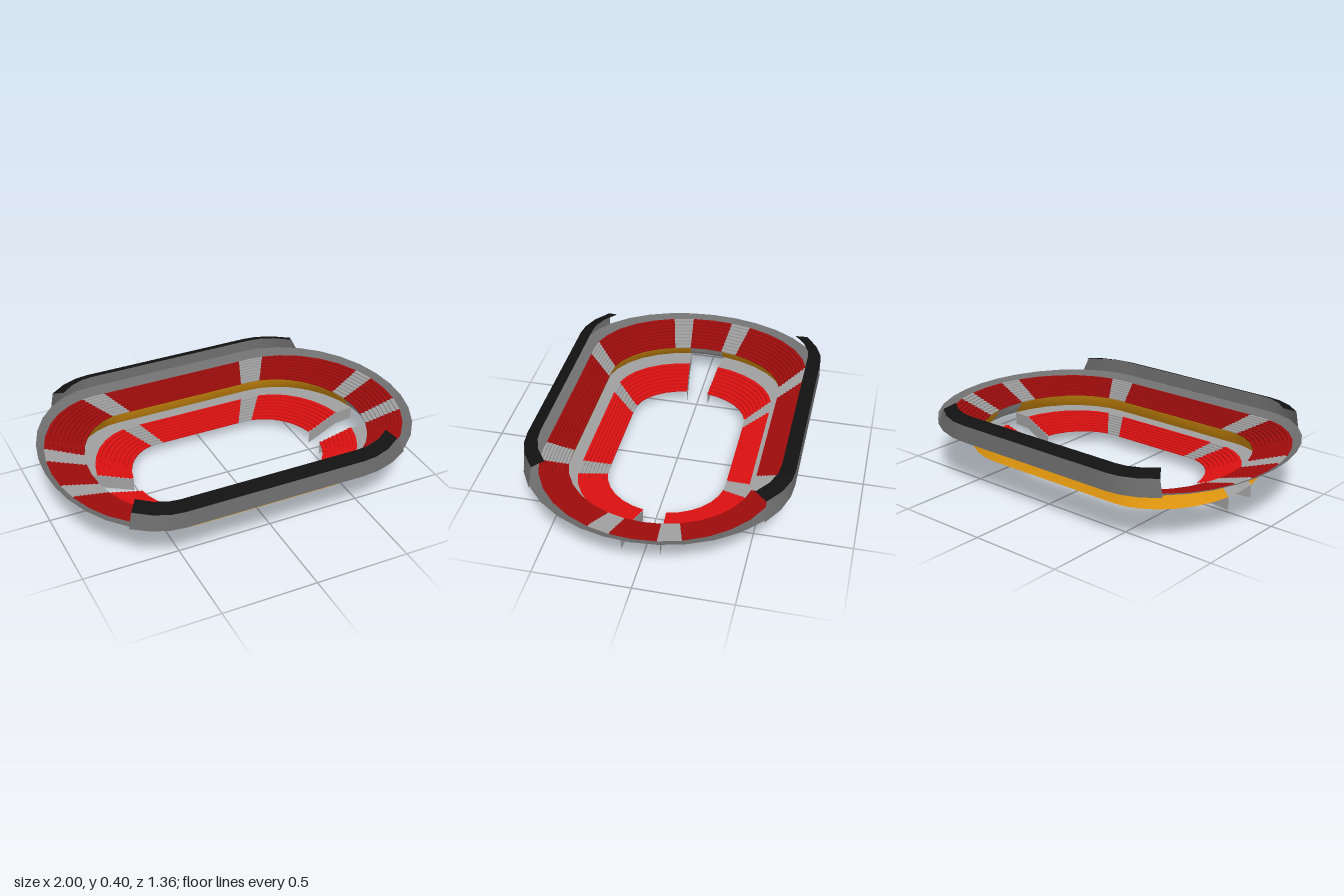
import * as THREE from 'three';

const mat = (name, color) => {
  const m = new THREE.MeshStandardMaterial({ color, side: THREE.DoubleSide });
  m.name = name;
  return m;
};

// Oval ring: height, half depth, straight-side ends (left, right), far ends (left, right)
const ring = (y, h, xl, xr, endL, endR) => ({ y, h, xl, xr, endL, endR });
const RINGS = {
  lowerInner: ring(0.07, 0.31, -0.28, 0.25, -0.52, 0.535),
  lowerOuter: ring(0.135, 0.44, -0.38, 0.34, -0.71, 0.72),
  walkOuter: ring(0.135, 0.51, -0.43, 0.37, -0.82, 0.825),
  upperInner: ring(0.21, 0.475, -0.42, 0.36, -0.76, 0.77),
  upperOuter: ring(0.28, 0.605, -0.53, 0.42, -0.965, 0.96),
  rimOuter: ring(0.297, 0.675, -0.53, 0.42, -1, 1),
  roofBase: ring(0.285, 0.682, -0.53, 0.42, -1, 0.99),
  roofTop: ring(0.375, 0.68, -0.53, 0.42, -0.97, 0.9),
  roofEdge: ring(0.4, 0.61, -0.53, 0.42, -0.89, 0.84),
};

function mix(a, b, t, y) {
  const r = {};
  for (const k in a) r[k] = a[k] + (b[k] - a[k]) * t;
  if (y !== undefined) r.y = y;
  return r;
}

// Half-ring point: u 0..1 right curve, 1..2 straight side, 2..3 left curve
function pointOn(r, u, side) {
  let x, z = r.h;
  if (u < 1) {
    x = r.xr + (r.endR - r.xr) * Math.cos(u * Math.PI / 2);
    z *= Math.sin(u * Math.PI / 2);
  } else if (u <= 2) {
    x = r.xr + (r.xl - r.xr) * (u - 1);
  } else {
    x = r.xl + (r.endL - r.xl) * Math.cos((3 - u) * Math.PI / 2);
    z *= Math.sin((3 - u) * Math.PI / 2);
  }
  return [x, r.y, z * side];
}

// Surface through a list of cross rows of points
function surface(rows, smooth) {
  const n = rows[0].length, index = [];
  for (let i = 0; i < rows.length - 1; i++) {
    for (let j = 0; j < n - 1; j++) {
      const a = i * n + j, b = a + n;
      index.push(a, a + 1, b, a + 1, b + 1, b);
    }
  }
  let g = new THREE.BufferGeometry();
  g.setAttribute('position', new THREE.Float32BufferAttribute(rows.flat(2), 3));
  g.setIndex(index);
  if (!smooth) g = g.toNonIndexed();
  g.computeVertexNormals();
  return g;
}

// Stops along half of the bowl; the stair bands fall between named stops
const curve = [0, 11, 22, 34, 46, 58, 70, 81, 90].map(d => d / 90);
const STOPS = [...curve, 1.065, 1.935, ...curve.map(u => 3 - u).reverse()];
const GAP = 11 / 90, BAND = 22 / 90, CORNER = 81 / 90;
const between = (a, b) => STOPS.filter(u => u >= a - 1e-6 && u <= b + 1e-6);

// Stepped profile: riser then tread for every row
function terrace(a, b, count) {
  const out = [a];
  for (let i = 0; i < count; i++) {
    const y = a.y + (b.y - a.y) * (i + 1) / count;
    out.push(mix(a, b, i / count, y), mix(a, b, (i + 1) / count, y));
  }
  return out;
}

export function createModel() {
  const model = new THREE.Group();
  model.name = 'stadium';
  const lowerRed = mat('bright red seats', 0xdc1010);
  const upperRed = mat('deep red seats', 0x9e0c0c);
  const concrete = mat('light concrete', 0xa0a0a0);
  const orange = mat('orange wall', 0xdc930e);
  const grey = mat('grey shell', 0x707070);
  const black = mat('black canopy', 0x121212);

  const add = (name, geometry, material) => {
    const m = new THREE.Mesh(geometry, material);
    m.name = name;
    model.add(m);
  };
  const strip = (name, rings, from, to, side, material, smooth = false) => add(
    name,
    surface(rings.map(r => between(from, to).map(u => pointOn(r, u, side))), smooth),
    material);

  const R = RINGS;
  const lower = terrace(R.lowerInner, R.lowerOuter, 8);
  const upper = terrace(R.upperInner, R.upperOuter, 9);
  const wallMid = mix(R.walkOuter, R.upperInner, 0.6, 0.172);

  for (const side of [1, -1]) {
    // Lower seating, open at both ends
    strip('lowerSeats', lower, GAP, CORNER, side, lowerRed);
    strip('lowerSeats', lower, 1.065, 1.935, side, lowerRed);
    strip('lowerSeats', lower, 3 - CORNER, 3 - GAP, side, lowerRed);
    // Upper seating, all the way round
    strip('upperSeats', upper, 0, GAP, side, upperRed);
    strip('upperSeats', upper, BAND, CORNER, side, upperRed);
    strip('upperSeats', upper, 1.065, 1.935, side, upperRed);
    strip('upperSeats', upper, 3 - CORNER, 3 - BAND, side, upperRed);
    strip('upperSeats', upper, 3 - GAP, 3, side, upperRed);
    // Stairs
    strip('upperEndStairs', upper, GAP, BAND, side, concrete);
    strip('upperEndStairs', upper, 3 - BAND, 3 - GAP, side, concrete);
    for (const [a, b] of [[CORNER, 1.065], [1.935, 3 - CORNER]]) {
      strip('lowerCornerStairs', lower, a, b, side, concrete);
      strip('upperCornerStairs', upper, a, b, side, concrete);
    }
    // Walkway and the leaning wall behind it
    strip('walkway', [R.lowerOuter, R.walkOuter], GAP, 3 - GAP, side, concrete);
    const wall = [R.walkOuter, wallMid, R.upperInner];
    strip('orangeWall', wall, GAP, 3 - GAP, side, orange, true);
    strip('endPanel', wall, 0, GAP, side, concrete);
    strip('endPanel', wall, 3 - GAP, 3, side, concrete);
    // Outer rim
    strip('rim', [R.upperOuter, R.rimOuter], 0, 3, side, grey);
    // Side roof: back wall and canopy
    const s = 58 / 90;
    strip('roofWall', [R.roofBase, R.roofTop], s, 3 - s, side, grey, true);
    strip('canopy', [R.roofTop, R.roofEdge], s, 3 - s, side, black, true);
    // Tunnel side walls hanging below the cut ends of the lower tier
    for (const u of [GAP, 3 - GAP]) {
      const top = [R.lowerInner, R.lowerOuter, R.walkOuter].map(r => pointOn(r, u, side));
      const bottom = top.map(([x, y, z]) => [x, y - 0.07, z]);
      add('tunnelWall', surface([top, bottom]), concrete);
    }
  }
  return model;
}
